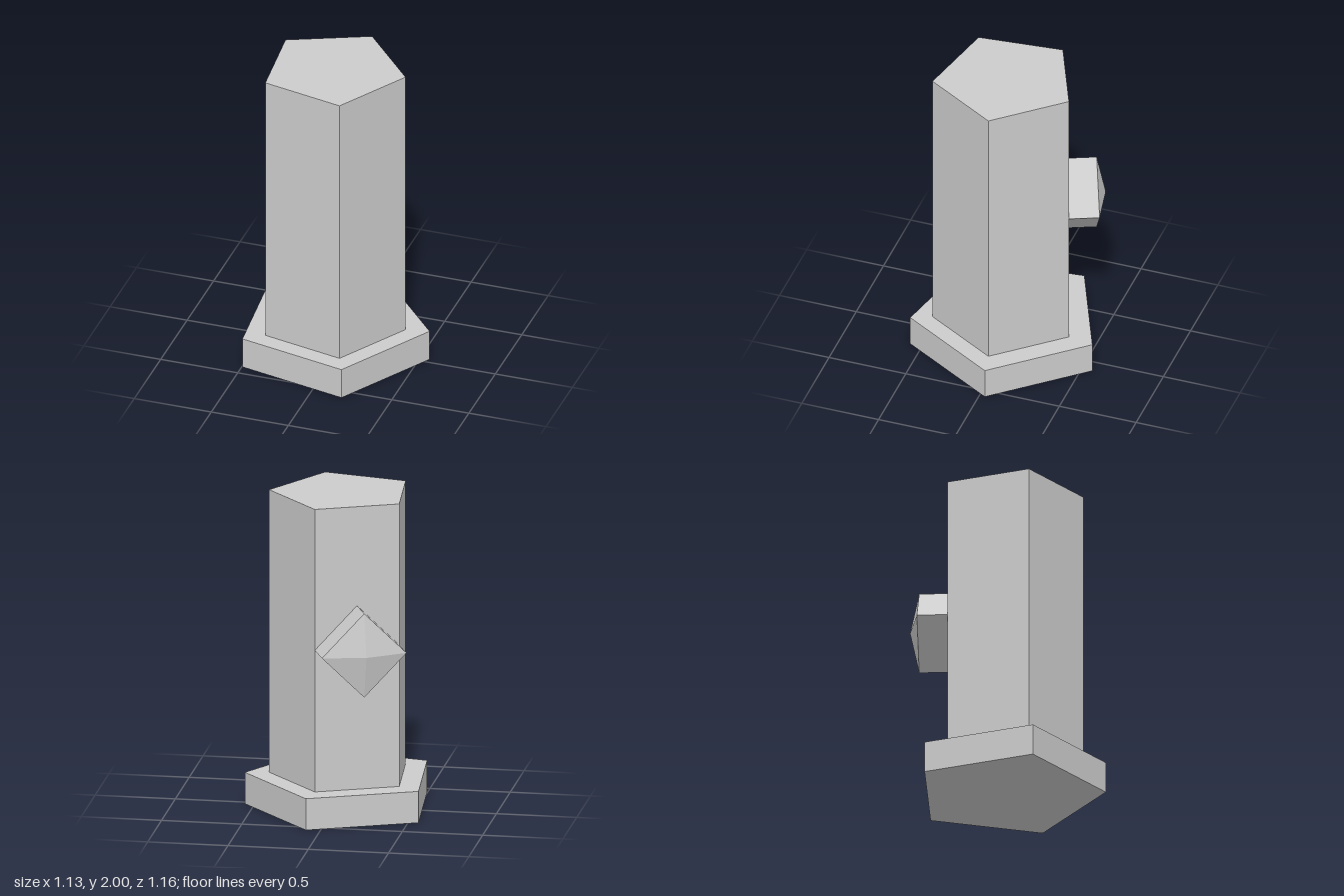
import * as THREE from 'three';

const material = new THREE.MeshStandardMaterial({ color: 0xcccccc, flatShading: true });

// Upright five-sided prism standing between two heights
function pentagonPrism(name, radius, bottom, top, x, z) {
  const mesh = new THREE.Mesh(new THREE.CylinderGeometry(radius, radius, top - bottom, 5), material);
  mesh.name = name;
  mesh.position.set(x, (bottom + top) / 2, z);
  mesh.rotation.y = THREE.MathUtils.degToRad(95.5);
  return mesh;
}

export function createModel() {
  const model = new THREE.Group();
  model.name = 'pentagonalPillar';

  // Wide foot and tall shaft
  model.add(pentagonPrism('base', 0.606, 0, 0.2, -0.042, 0.022));
  model.add(pentagonPrism('column', 0.454, 0.2, 2, -0.037, 0.036));

  // Diamond-shaped knob with a low pyramid cap, on the back face
  const profile = [[0, 0], [0.267, 0], [0.267, 0.19], [0, 0.246]].map(([r, y]) => new THREE.Vector2(r, y));
  const knob = new THREE.Mesh(new THREE.LatheGeometry(profile, 4).rotateX(Math.PI / 2), material);
  knob.name = 'knob';
  knob.position.set(-0.183, 1.102, -0.3);
  knob.rotation.y = Math.atan2(-0.397, -0.918);
  model.add(knob);

  return model;
}
